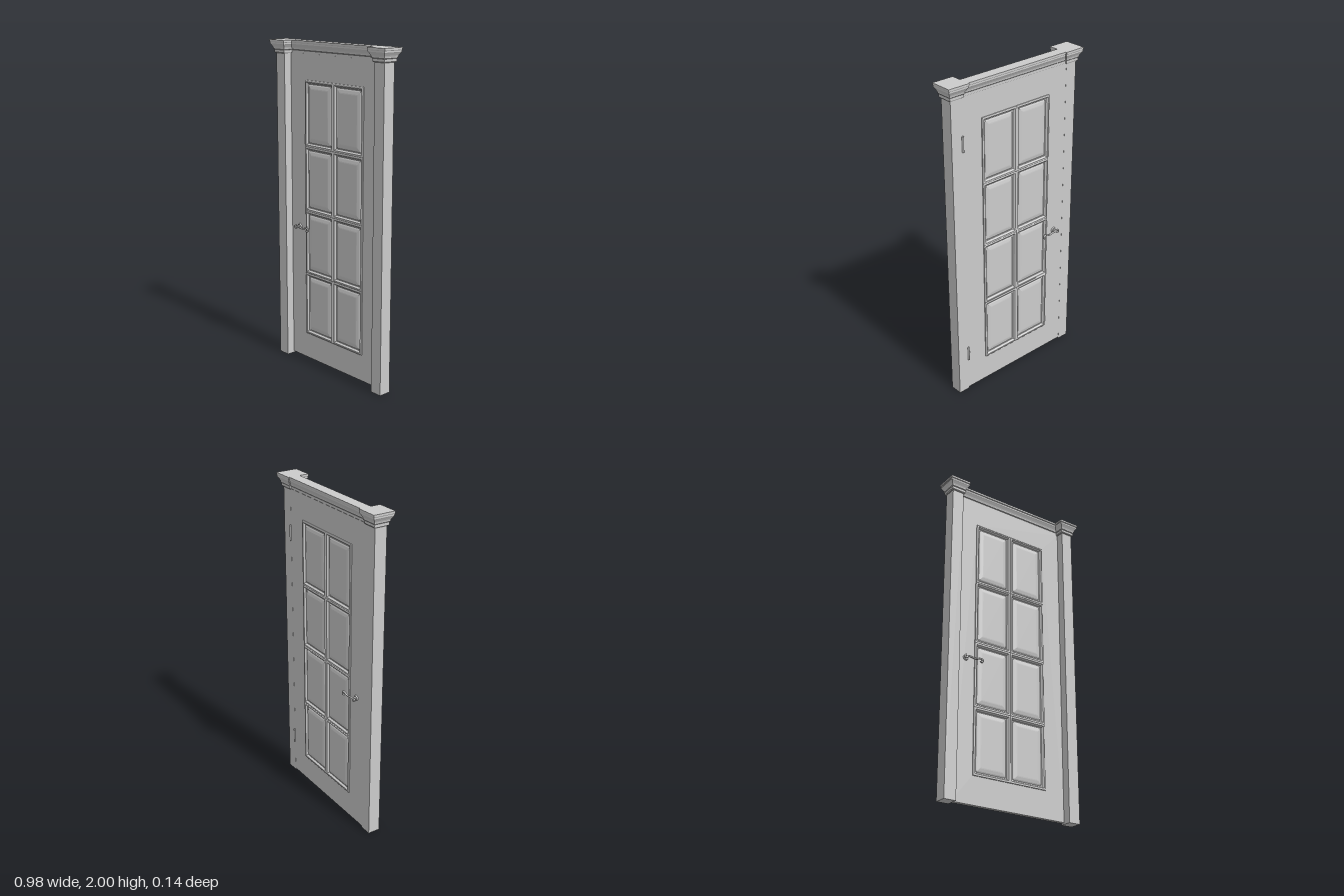
import * as THREE from 'three';

const grey = new THREE.MeshStandardMaterial({ color: 0xcccccc });
const flat = new THREE.MeshStandardMaterial({ color: 0xcccccc, flatShading: true });

function add(parent, name, geometry, x = 0, y = 0, z = 0, material = grey) {
  const mesh = new THREE.Mesh(geometry, material);
  mesh.name = name;
  mesh.position.set(x, y, z);
  parent.add(mesh);
  return mesh;
}

// Solid of stacked rectangles [width, height, z], capped at both ends
function loft(rings) {
  const positions = [];
  const corners = rings.map(([w, h, z]) =>
    [[-1, -1], [1, -1], [1, 1], [-1, 1]].map(([sx, sy]) => [sx * w / 2, sy * h / 2, z]));
  const quad = (a, b, c, d) => positions.push(...a, ...b, ...c, ...a, ...c, ...d);
  for (let r = 0; r < corners.length - 1; r++) {
    for (let i = 0; i < 4; i++) {
      const j = (i + 1) % 4;
      quad(corners[r][i], corners[r][j], corners[r + 1][j], corners[r + 1][i]);
    }
  }
  const first = corners[0], last = corners[corners.length - 1];
  quad(first[3], first[2], first[1], first[0]);
  quad(...last);
  const geometry = new THREE.BufferGeometry();
  geometry.setAttribute('position', new THREE.Float32BufferAttribute(positions, 3));
  geometry.computeVertexNormals();
  return geometry;
}

// Cornice profile: [overhang, height]
const cornice = [[0.005, 1.92], [0.009, 1.925], [0.009, 1.94], [0.013, 1.944], [0.013, 1.95],
  [0.016, 1.958], [0.023, 1.97], [0.027, 1.976], [0.027, 1.984], [0.03, 1.988], [0.03, 2]];

// Lever handle facing +z, with its rosette on z = 0
function makeHandle() {
  const handle = new THREE.Group();
  handle.name = 'leverHandle';
  const rosette = add(handle, 'rosette', new THREE.CylinderGeometry(0.014, 0.017, 0.008, 24), 0, 0, 0.004);
  rosette.rotation.x = Math.PI / 2;
  const neck = add(handle, 'handleNeck', new THREE.CylinderGeometry(0.006, 0.007, 0.024, 16), 0, 0, 0.015);
  neck.rotation.x = Math.PI / 2;
  const path = new THREE.CatmullRomCurve3([
    [-0.014, 0.006], [-0.019, 0.001], [-0.017, -0.008], [-0.009, -0.009], [0, 0], [0.025, 0.001], [0.055, -0.003],
    [0.08, 0.005], [0.096, 0.005], [0.102, -0.004], [0.098, -0.013], [0.09, -0.012],
  ].map(([x, y]) => new THREE.Vector3(x, y, 0.026)));
  add(handle, 'lever', new THREE.TubeGeometry(path, 70, 0.0055, 10));
  for (const t of [0, 1]) {
    const p = path.getPoint(t);
    add(handle, 'leverTip', new THREE.SphereGeometry(0.006, 12, 8), p.x, p.y, p.z);
  }
  return handle;
}

export function createModel() {
  const model = new THREE.Group();
  model.name = 'panelledDoor';

  // Jambs with flared capitals
  for (const side of [-1, 1]) {
    add(model, 'jamb', new THREE.BoxGeometry(0.075, 1.925, 0.076), side * 0.4205, 0.9625, 0);
    const capital = loft(cornice.map(([o, y]) => [0.075 + 2 * o, 0.076 + 2 * o, y]));
    capital.rotateX(-Math.PI / 2);
    add(model, 'capital', capital, side * 0.4205, 0, 0, flat);
  }

  // Lintel running between the capitals
  const lintel = loft(cornice.map(([o, y]) => [0.77, 0.008 + 2 * o, y]));
  lintel.rotateX(-Math.PI / 2);
  add(model, 'lintel', lintel, 0, 0, -0.026, flat);

  // Door leaf with an opening for the panels
  const door = new THREE.Group();
  door.name = 'doorLeaf';
  door.position.z = -0.025;
  model.add(door);
  const rect = (Type, x0, y0, x1, y1) => new Type([
    new THREE.Vector2(x0, y0), new THREE.Vector2(x1, y0), new THREE.Vector2(x1, y1), new THREE.Vector2(x0, y1)]);
  const leaf = rect(THREE.Shape, -0.384, 0.01, 0.384, 1.925);
  leaf.holes.push(rect(THREE.Path, -0.25, 0.175, 0.25, 1.77));
  add(door, 'doorFrame', new THREE.ExtrudeGeometry(leaf, { depth: 0.025, bevelEnabled: false }), 0, 0, -0.0125);

  // Raised panels, two columns by four rows, on both faces
  const cellW = 0.25, cellH = 1.595 / 4;
  const panelProfile = [[0, 0.001], [0, 0.018], [0.003, 0.02], [0.011, 0.02], [0.015, 0.016],
    [0.019, 0.008], [0.024, 0.007], [0.032, 0.011], [0.048, 0.0145], [0.054, 0.015]];
  const panel = loft(panelProfile.map(([inset, z]) => [cellW - 2 * inset, cellH - 2 * inset, z]));
  for (const face of [0, Math.PI]) {
    for (const side of [-1, 1]) {
      for (let row = 0; row < 4; row++) {
        const mesh = add(door, 'raisedPanel', panel, side * cellW / 2, 0.175 + cellH * (row + 0.5), 0, flat);
        mesh.rotation.y = face;
      }
    }
  }

  // Lever handles on both faces
  for (const face of [1, -1]) {
    const handle = makeHandle();
    handle.position.set(-0.31, 0.862, face * 0.0125);
    handle.scale.z = face;
    door.add(handle);
  }

  // Hinges on the back at the left edge
  for (const y of [0.265, 1.655]) {
    add(model, 'hingeBarrel', new THREE.CylinderGeometry(0.006, 0.006, 0.09, 16), 0.384, y, -0.041);
    for (const end of [-1, 1]) {
      add(model, 'hingeCap', new THREE.SphereGeometry(0.005, 12, 8), 0.384, y + end * 0.045, -0.041);
    }
  }

  return model;
}
